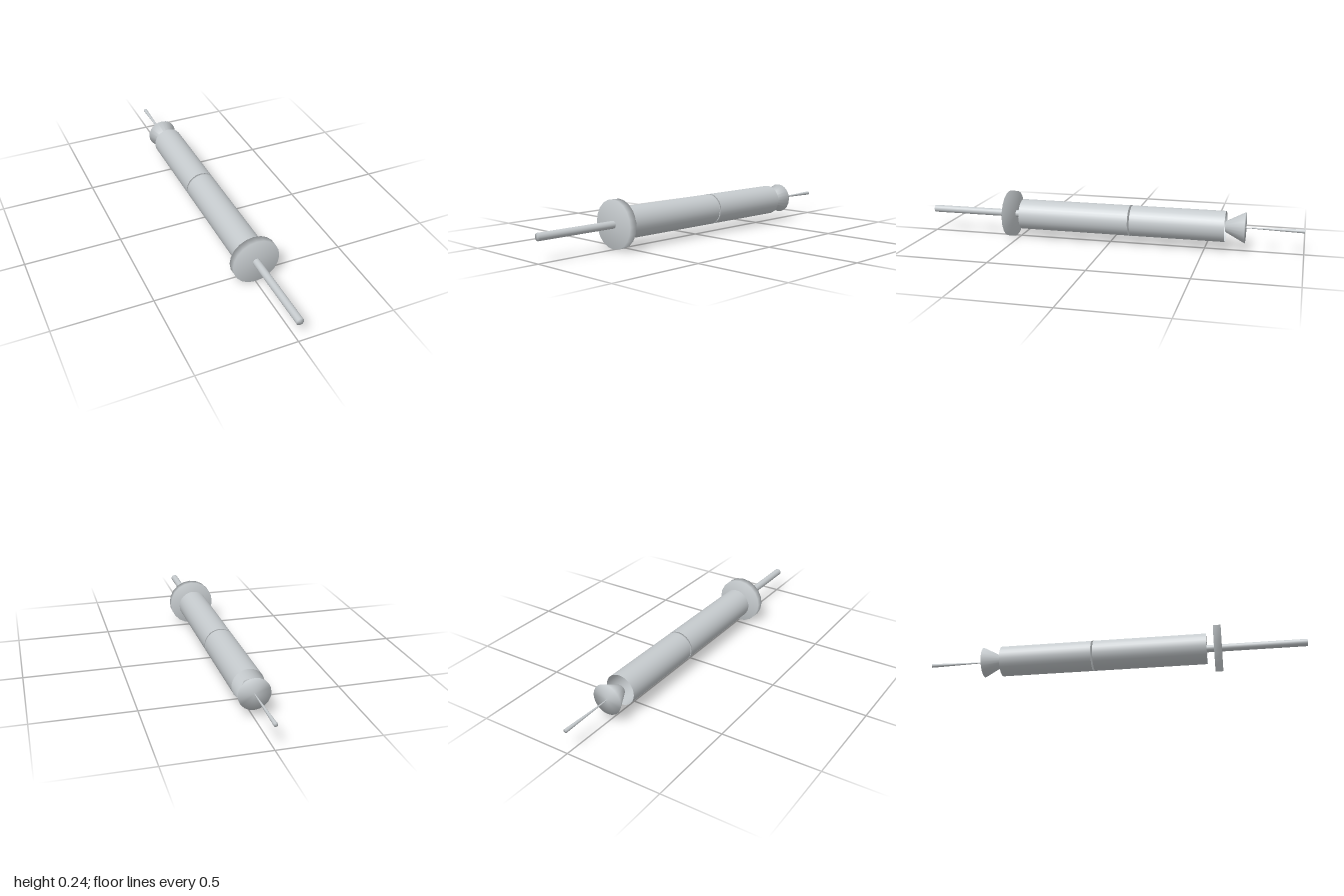
import * as THREE from 'three';

const AXIS_Y = 0.122;

export function createModel() {
  const group = new THREE.Group();
  const paleGrey = new THREE.MeshStandardMaterial({ color: 0xc6cbce, side: THREE.DoubleSide });
  paleGrey.name = 'paleGrey';

  // Turned part along z; the profile is [radius, z] from back to front
  function turned(name, profile, sides) {
    const points = profile.map(([r, z]) => new THREE.Vector2(r, z));
    const geometry = new THREE.LatheGeometry(points, sides);
    geometry.rotateX(Math.PI / 2);
    const mesh = new THREE.Mesh(geometry, paleGrey);
    mesh.name = name;
    mesh.position.y = AXIS_Y;
    group.add(mesh);
  }

  // Closed cylinder or cone with softly shaded rims
  const solid = (name, z0, r0, z1, r1, sides = 20) =>
    turned(name, [[0, z0], [r0, z0], [r1, z1], [0, z1]], sides);

  // Open thin-walled barrel
  turned('barrel', [[0.08, -0.605], [0.08, 0.487]], 32);

  // Plunger: disc inside the barrel, long rod and thumb flange
  solid('piston', -0.115, 0.081, -0.105, 0.081);
  solid('plungerRod', -0.11, 0.019, 1, 0.019);
  solid('flange', 0.525, 0.122, 0.565, 0.122);

  // Rear: flared nozzle and a needle that widens to its end
  solid('nozzle', -0.705, 0.08, -0.605, 0.028);
  solid('needle', -1, 0.01, -0.66, 0.001, 12);

  return group;
}
